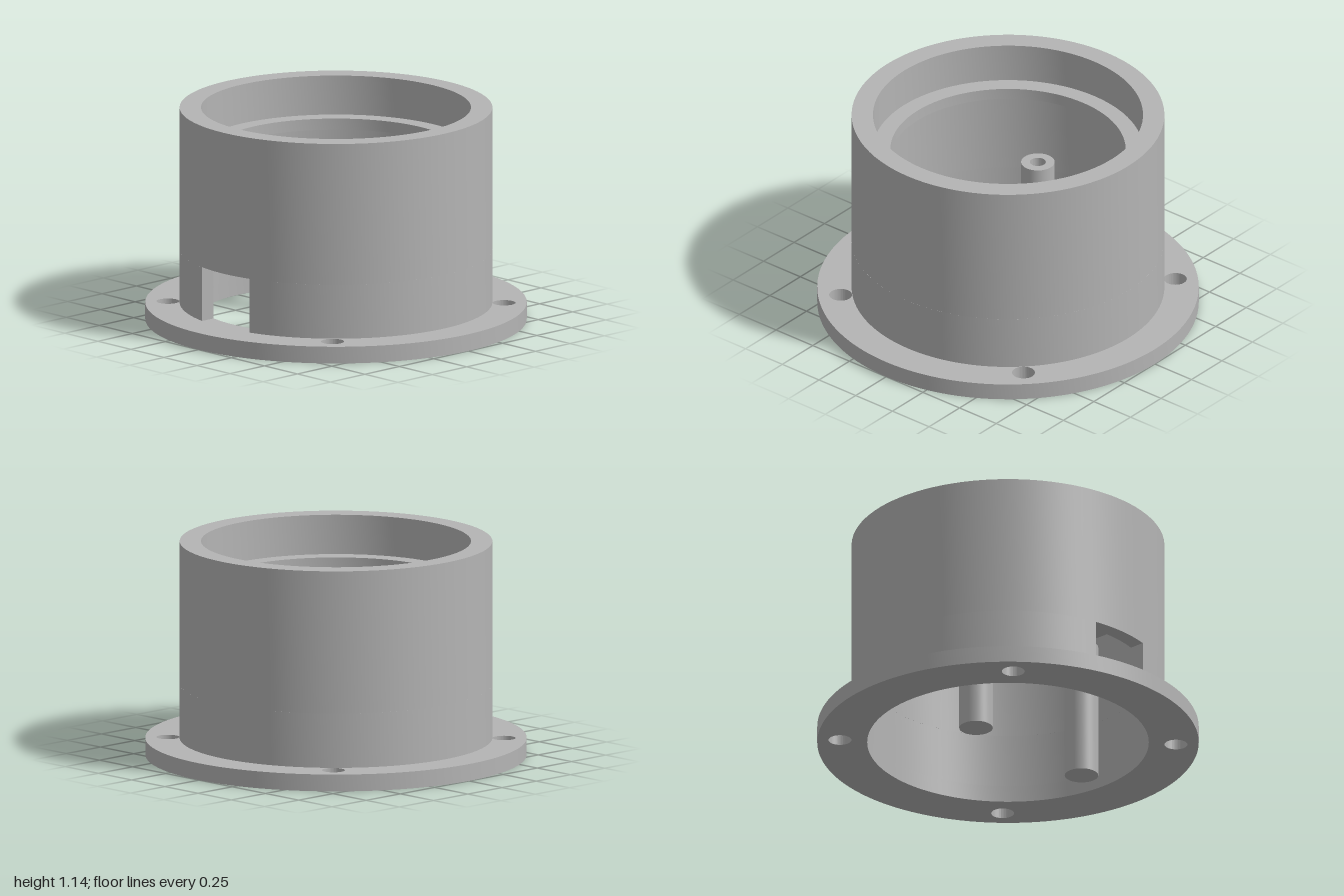
import * as THREE from 'three';
import { toCreasedNormals } from 'three/addons/utils/BufferGeometryUtils.js';

const OUTER = 0.82, INNER = 0.738, FLANGE_TOP = 0.09, WINDOW_TOP = 0.38, HALF_WINDOW = 0.18;

export function createModel() {
  const group = new THREE.Group();
  const grey = new THREE.MeshStandardMaterial({ color: 0xb4b4b4 });
  grey.name = 'plain grey';

  const add = (name, geometry) => {
    const mesh = new THREE.Mesh(toCreasedNormals(geometry, 0.5), grey);
    mesh.name = name;
    group.add(mesh);
    return mesh;
  };
  // Flat outline raised from y0 to y1 (shape y becomes -z)
  const slab = (shape, y0, y1) =>
    new THREE.ExtrudeGeometry(shape, { depth: y1 - y0, bevelEnabled: false, curveSegments: 96 })
      .rotateX(-Math.PI / 2).translate(0, y0, 0);
  const turned = (points, segments) =>
    new THREE.LatheGeometry(points.map(([r, y]) => new THREE.Vector2(r, y)), segments);
  const circle = (x, y, r) => new THREE.Path().absarc(x, y, r, 0, Math.PI * 2, true);

  // Base flange with a large opening and four bolt holes
  const flange = new THREE.Shape().absarc(0, 0, 1, 0, Math.PI * 2, false);
  flange.holes.push(circle(0, 0, INNER));
  for (const x of [-0.623, 0.623])
    for (const y of [-0.623, 0.623]) flange.holes.push(circle(x, y, 0.06));
  add('flange', slab(flange, 0, FLANGE_TOP));

  // Lower wall, open at the front for the window
  const a = Math.asin(HALF_WINDOW / OUTER), b = Math.asin(HALF_WINDOW / INNER);
  const start = -Math.PI / 2, end = Math.PI * 1.5;
  const wall = new THREE.Shape();
  wall.absarc(0, 0, OUTER, start + a, end - a, false);
  wall.absarc(0, 0, INNER, end - b, start + b, true);
  wall.closePath();
  add('lowerWall', slab(wall, FLANGE_TOP, WINDOW_TOP));

  // Upper wall with the inner ledge and the wider rim above it
  add('upperWall', turned([
    [INNER, WINDOW_TOP], [OUTER, WINDOW_TOP], [OUTER, 1.14], [0.708, 1.14],
    [0.708, 0.93], [0.617, 0.93], [0.617, 0.87], [INNER, 0.87], [INNER, WINDOW_TOP],
  ], 96));

  // Two inner posts with blind screw holes
  for (const [name, x] of [['rightPost', -0.245], ['leftPost', 0.563]]) {
    const post = add(name, turned([
      [0, 0], [0.088, 0], [0.088, 0.74], [0.042, 0.74], [0.042, 0.45], [0, 0.45],
    ], 40));
    post.position.x = x;
  }
  return group;
}
